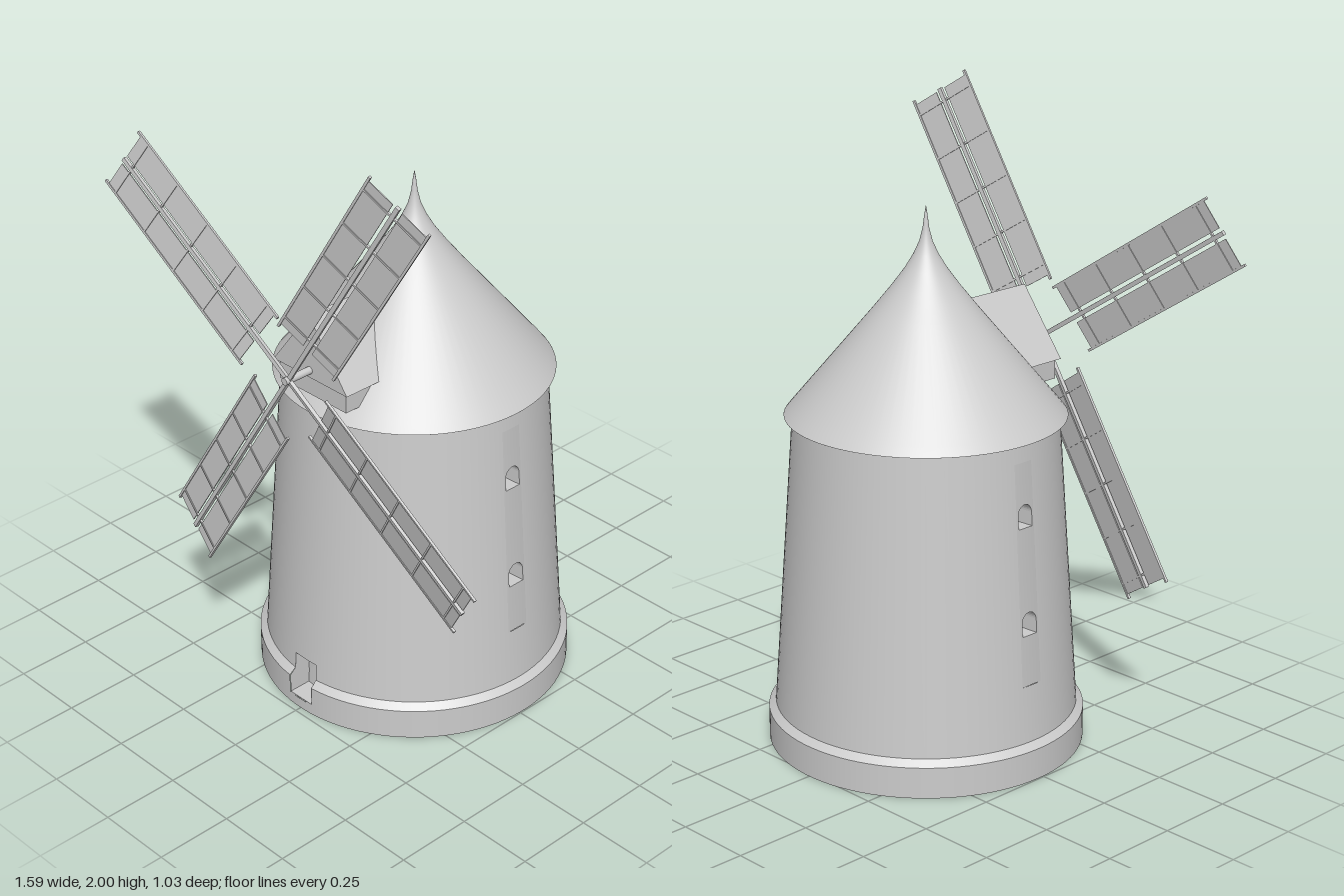
import * as THREE from 'three';

const grey = new THREE.MeshStandardMaterial({ color: 0xcccccc });
const open = new THREE.MeshStandardMaterial({ color: 0xcccccc, side: THREE.DoubleSide });

const WALL = 0.06;                                      // wall thickness
const DOOR = { w: 0.048, y0: 0.035, y1: 0.175, a: 0.1 };  // half width, sill, head, half angle
const WIN = { a: 0.085, y0: 0.3, y1: 1.0 };             // strip of wall that holds the windows
const TOP = 1.06;
const cone = (y) => 0.475 - 0.069 * (y - 0.12);
const radius = (y) => (y <= 0.1 ? 0.497 : y < 0.12 ? 0.497 - 1.1 * (y - 0.1) : cone(y));

function add(parent, name, geometry, material = grey) {
  const mesh = new THREE.Mesh(geometry, material);
  mesh.name = name;
  parent.add(mesh);
  return mesh;
}

function box(parent, name, w, h, d, x, y, z, material) {
  const mesh = add(parent, name, new THREE.BoxGeometry(w, h, d), material);
  mesh.position.set(x, y, z);
  return mesh;
}

// Turned surface between two angles, with a hard edge at every profile point
function turned(parent, name, points, a0, a1) {
  const segments = Math.max(3, Math.ceil((a1 - a0) / 0.07));
  for (let i = 0; i + 1 < points.length; i++) {
    const pair = [points[i], points[i + 1]].map(([r, y]) => new THREE.Vector2(r, y));
    add(parent, name, new THREE.LatheGeometry(pair, segments, a0, a1 - a0), open);
  }
}

// Outer skin between two heights, following the plinth step
function skin(parent, y0, y1, a0, a1) {
  const ys = [y0, 0.1, 0.12, y1].filter((y) => y >= y0 && y <= y1);
  turned(parent, 'outerWall', ys.map((y) => [radius(y), y]), a0, a1);
}

function innerSkin(parent, y0, y1, a0, a1) {
  turned(parent, 'innerWall', [[cone(y1) - WALL, y1], [cone(y0) - WALL, y0]], a0, a1);
}

// Curved strip of wall pierced by two arched windows
function windowStrip() {
  const R = 0.45, half = WIN.a * R, r = 0.03;
  const shape = new THREE.Shape();
  shape.moveTo(-half, WIN.y0).lineTo(half, WIN.y0).lineTo(half, WIN.y1).lineTo(-half, WIN.y1);
  for (const sill of [0.459, 0.797]) {
    const hole = new THREE.Path();
    hole.moveTo(-r, sill).lineTo(r, sill).lineTo(r, sill + 0.043);
    hole.absarc(0, sill + 0.043, r, 0, Math.PI, false);
    hole.lineTo(-r, sill);
    shape.holes.push(hole);
  }
  const geo = new THREE.ExtrudeGeometry(shape, { depth: WALL, bevelEnabled: false, curveSegments: 8 });
  const p = geo.attributes.position, n = geo.attributes.normal;
  const axis = new THREE.Vector3(0, 1, 0), v = new THREE.Vector3();
  for (let i = 0; i < p.count; i++) {
    const angle = p.getX(i) / R, y = p.getY(i);
    const rad = cone(y) - WALL + p.getZ(i);
    p.setXYZ(i, rad * Math.sin(angle), y, rad * Math.cos(angle));
    v.fromBufferAttribute(n, i).applyAxisAngle(axis, angle);
    n.setXYZ(i, v.x, v.y, v.z);
  }
  return geo;
}

function buildTower() {
  const tower = new THREE.Group();
  tower.name = 'tower';
  const q = Math.PI / 2, full = Math.PI * 2;

  // Plain wall between the door and the window strips
  for (const [a0, a1] of [[DOOR.a, q - WIN.a], [q + WIN.a, 3 * q - WIN.a], [3 * q + WIN.a, full - DOOR.a]]) {
    skin(tower, 0, TOP, a0, a1);
  }
  skin(tower, 0, DOOR.y0, -DOOR.a, DOOR.a);
  skin(tower, DOOR.y1, TOP, -DOOR.a, DOOR.a);
  innerSkin(tower, 0.025, TOP, -q + WIN.a, q - WIN.a);
  innerSkin(tower, 0.025, TOP, q + WIN.a, 3 * q - WIN.a);

  // Window strips on both sides, with wall below and above
  const strip = windowStrip();
  for (const c of [q, 3 * q]) {
    add(tower, 'windowWall', strip).rotation.y = c;
    for (const [y0, y1] of [[0, WIN.y0], [WIN.y1, TOP]]) {
      skin(tower, y0, y1, c - WIN.a, c + WIN.a);
      innerSkin(tower, Math.max(y0, 0.025), y1, c - WIN.a, c + WIN.a);
    }
  }

  // Floor
  const floor = add(tower, 'floor', new THREE.CircleGeometry(cone(0.025) - WALL, 72), open);
  floor.rotation.x = q;
  floor.position.y = 0.025;

  // Door niche: sides, sill, head and the door itself
  const back = 0.41;
  const cheek = new THREE.Shape([[back, DOOR.y0], [0.494, DOOR.y0], [0.494, 0.1], [0.472, 0.12], [0.468, DOOR.y1], [back, DOOR.y1]]
    .map(([z, y]) => new THREE.Vector2(-z, y)));
  for (const s of [-1, 1]) {
    const side = add(tower, 'doorReveal', new THREE.ShapeGeometry(cheek), open);
    side.rotation.y = q;
    side.position.x = s * DOOR.w;
  }
  box(tower, 'doorSill', 2 * DOOR.w, 0.004, 0.084, 0, DOOR.y0, back + 0.042);
  box(tower, 'doorHead', 2 * DOOR.w, 0.004, 0.058, 0, DOOR.y1, back + 0.029);
  box(tower, 'door', 2 * DOOR.w, DOOR.y1 - DOOR.y0, 0.01, 0, (DOOR.y0 + DOOR.y1) / 2, back);
  return tower;
}

function buildRoof() {
  const roof = new THREE.Group();
  roof.name = 'roof';
  const profile = [[0.435, TOP], [0.415, 1.085], [0.165, 1.385], [0.105, 1.46], [0.065, 1.515], [0.038, 1.56],
    [0.02, 1.6], [0.01, 1.64], [0.005, 1.68], [0, 1.71]].map(([r, y]) => new THREE.Vector2(r, y));
  add(roof, 'roofCone', new THREE.LatheGeometry(profile, 72), open);
  turned(roof, 'eaves', [[0.345, TOP], [0.435, TOP]], 0, Math.PI * 2);
  return roof;
}

// Gabled housing that carries the sail shaft
function buildDormer() {
  const dormer = new THREE.Group();
  dormer.name = 'dormer';
  const gable = new THREE.Shape([[-0.16, 1.175], [0.16, 1.175], [0, 1.385]].map(([x, y]) => new THREE.Vector2(x, y)));
  const cap = add(dormer, 'dormerRoof', new THREE.ExtrudeGeometry(gable, { depth: 0.36, bevelEnabled: false }));
  cap.position.z = 0.05;
  box(dormer, 'dormerBody', 0.29, 0.07, 0.35, 0, 1.145, 0.225);
  return dormer;
}

// One sail pointing along +x, pitched so its upper edge is forward
function buildSail() {
  const sail = new THREE.Group();
  sail.name = 'sail';
  const inner = 0.147, outer = 0.872, mid = (inner + outer) / 2, len = outer - inner;
  box(sail, 'spar', outer - 0.01, 0.014, 0.012, (outer - 0.01) / 2, 0, 0);
  for (const s of [-1, 1]) {
    box(sail, 'rail', len, 0.008, 0.008, mid, s * 0.113, 0);
    box(sail, 'sailPanel', len - 0.03, 0.092, 0.003, mid, s * 0.064, 0);
  }
  for (let i = 0; i < 5; i++) {
    box(sail, 'crossBar', 0.006, 0.234, 0.008, 0.2 + i * 0.155, 0, 0);
  }
  sail.rotation.x = 0.18;
  return sail;
}

function buildSails() {
  const sails = new THREE.Group();
  sails.name = 'sails';
  for (let i = 0; i < 4; i++) {
    const arm = new THREE.Group();
    arm.name = 'sailArm';
    arm.add(buildSail());
    arm.rotation.z = THREE.MathUtils.degToRad(57.3 + 90 * i);
    sails.add(arm);
  }
  // Shaft back into the dormer
  const shaft = add(sails, 'shaft', new THREE.CylinderGeometry(0.012, 0.012, 0.13, 16));
  shaft.rotation.x = Math.PI / 2;
  shaft.position.z = -0.048;
  sails.position.set(0, 1.2, 0.493);
  return sails;
}

export function createModel() {
  const model = new THREE.Group();
  model.name = 'windmill';
  const body = new THREE.Group();
  body.name = 'body';
  body.add(buildTower(), buildRoof());
  body.position.z = -0.018;
  model.add(body, buildDormer(), buildSails());
  return model;
}
